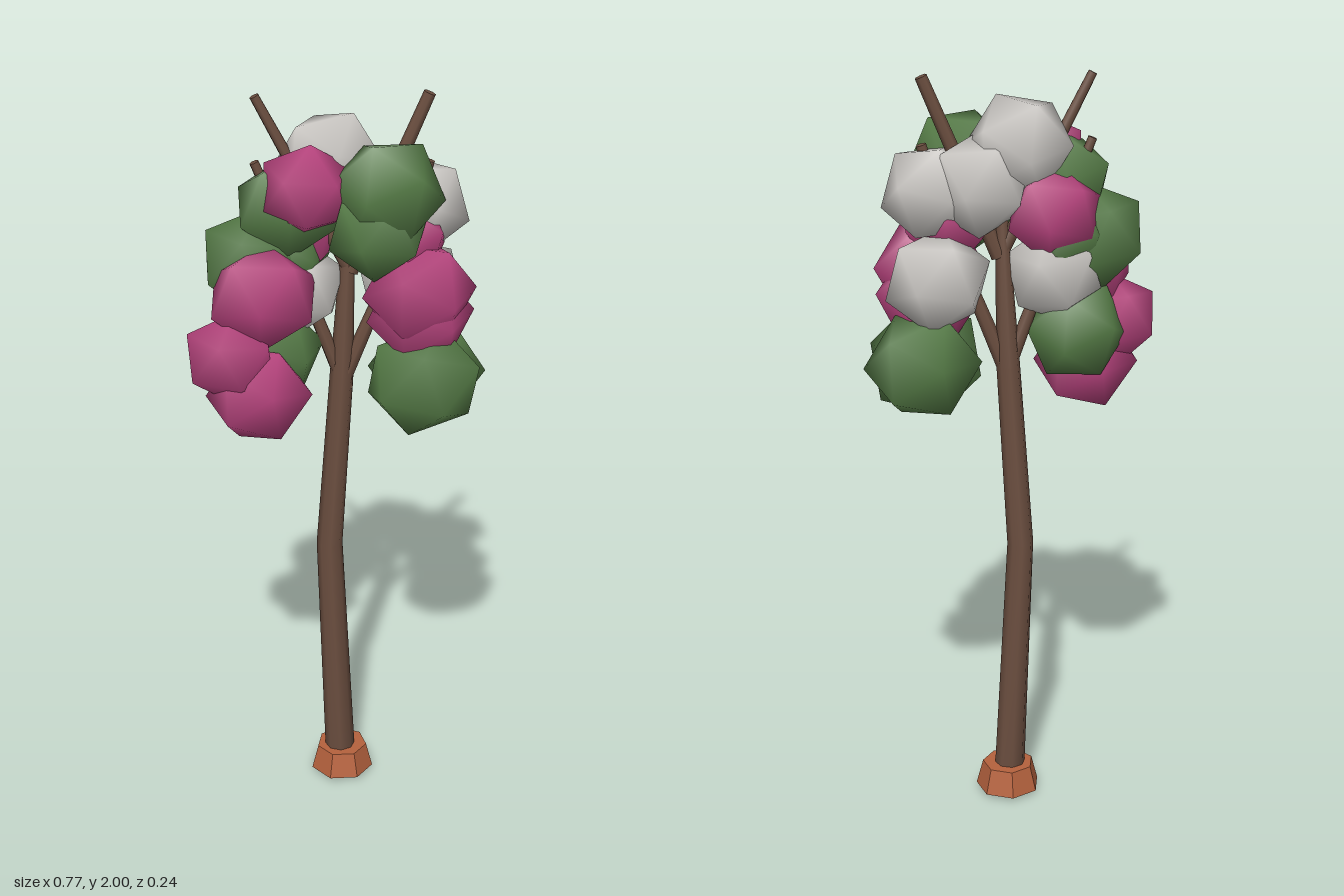
import * as THREE from 'three';
import { mergeVertices } from 'three/addons/utils/BufferGeometryUtils.js';

const mat = (name, color) => {
  const m = new THREE.MeshStandardMaterial({ color });
  m.name = name;
  return m;
};

// Joins split corners so that shading runs smoothly across them
const smooth = (geometry) => {
  geometry.deleteAttribute('normal');
  geometry.deleteAttribute('uv');
  const merged = mergeVertices(geometry);
  merged.computeVertexNormals();
  return merged;
};

export function createModel() {
  const tree = new THREE.Group();
  tree.name = 'blossomTree';
  const bark = mat('bark', 0x6c4f40);
  const clay = mat('clay', 0xb5623e);
  const pink = mat('pinkBlossom', 0xb5427c);
  const green = mat('greenLeaf', 0x557b46);
  const white = mat('whiteBlossom', 0xcac7c3);

  const add = (name, geometry, material) => {
    const mesh = new THREE.Mesh(geometry, material);
    mesh.name = name;
    tree.add(mesh);
    return mesh;
  };

  // Seven-sided foot, one corner pointing back
  const footGeo = new THREE.CylinderGeometry(0.07, 0.088, 0.07, 7).toNonIndexed();
  footGeo.computeVertexNormals();
  const foot = add('foot', footGeo, clay);
  foot.rotation.y = Math.PI;
  foot.position.set(0.02, 0.045, -0.035);

  // Bent trunk: each ring of a cylinder takes a centre (x, y, z) and a radius
  const rings = [
    [0.018, 0, -0.034, 0.042], [-0.014, 0.74, -0.031, 0.035],
    [0.018, 1.24, -0.028, 0.031], [0.035, 1.65, -0.02, 0.016],
  ];
  const trunkGeo = new THREE.CylinderGeometry(1, 1, 1, 8, rings.length - 1);
  const pos = trunkGeo.attributes.position;
  for (let i = 0; i < pos.count; i++) {
    const [x, y, z, r] = rings[Math.round((pos.getY(i) + 0.5) * (rings.length - 1))];
    pos.setXYZ(i, x + pos.getX(i) * r, y, z + pos.getZ(i) * r);
  }
  add('trunk', smooth(trunkGeo), bark);

  // Straight tapered branches: start, end, radii
  const up = new THREE.Vector3(0, 1, 0);
  [
    [[0.03, 1.2, -0.025], [-0.12, 1.6, -0.02], 0.02, 0.014],
    [[0.02, 1.22, -0.025], [0.18, 1.62, -0.015], 0.022, 0.014],
    [[0.03, 1.55, -0.02], [-0.197, 1.99, -0.015], 0.02, 0.012],
    [[0.04, 1.53, -0.02], [0.233, 1.99, -0.015], 0.022, 0.016],
    [[-0.1, 1.58, -0.01], [-0.2, 1.825, -0.01], 0.016, 0.012],
    [[0.15, 1.55, -0.01], [0.235, 1.82, -0.01], 0.017, 0.014],
  ].forEach(([a, b, r0, r1]) => {
    const start = new THREE.Vector3(...a);
    const dir = new THREE.Vector3(...b).sub(start);
    const branch = add('branch', new THREE.CylinderGeometry(r1, r0, dir.length(), 7), bark);
    branch.position.copy(start).addScaledVector(dir, 0.5);
    branch.quaternion.setFromUnitVectors(up, dir.normalize());
  });

  // Smooth-shaded, faceted clump, turned and flattened front to back
  const clump = (name, material, [x, y, z, r], turn) => {
    const geo = new THREE.IcosahedronGeometry(1, 0);
    geo.rotateX(turn * 1.7);
    geo.rotateY(turn * 0.9);
    geo.rotateZ(turn);
    geo.scale(r, r, 0.073);
    add(name, smooth(geo), material).position.set(x, y, z);
  };

  // Clumps: centre (x, y, z) and radius
  [
    // left side, low to high
    [-0.2, 1.22, 0.045, 0.14], [-0.272, 1.33, 0.045, 0.127], [-0.185, 1.49, 0.045, 0.148],
    // upper front and back
    [-0.075, 1.765, 0.035, 0.125], [-0.1, 1.64, -0.04, 0.13],
    // right side
    [0.21, 1.49, 0.04, 0.148], [0.215, 1.42, 0.025, 0.14], [0.17, 1.62, 0.01, 0.12],
  ].forEach((spot, i) => clump('pinkClump', pink, spot, i * 1.3 + 0.3));

  [
    // left side
    [-0.165, 1.32, -0.01, 0.14], [-0.21, 1.57, -0.005, 0.142], [-0.12, 1.71, 0.005, 0.14],
    // upper front
    [0.125, 1.76, 0.05, 0.148], [0.105, 1.66, 0.045, 0.135],
    // low right pair
    [0.225, 1.245, 0.037, 0.16], [0.24, 1.25, -0.027, 0.155],
    // inner left
    [-0.13, 1.58, -0.02, 0.12],
  ].forEach((spot, i) => clump('greenClump', green, spot, i * 1.1 + 0.6));

  [
    [-0.01, 1.815, -0.03, 0.142], [0.09, 1.72, -0.035, 0.14], [0.21, 1.7, -0.015, 0.135],
    [0.2, 1.475, -0.035, 0.142], [-0.1, 1.485, -0.025, 0.135],
  ].forEach((spot, i) => clump('whiteClump', white, spot, i * 1.2 + 0.2));

  return tree;
}
